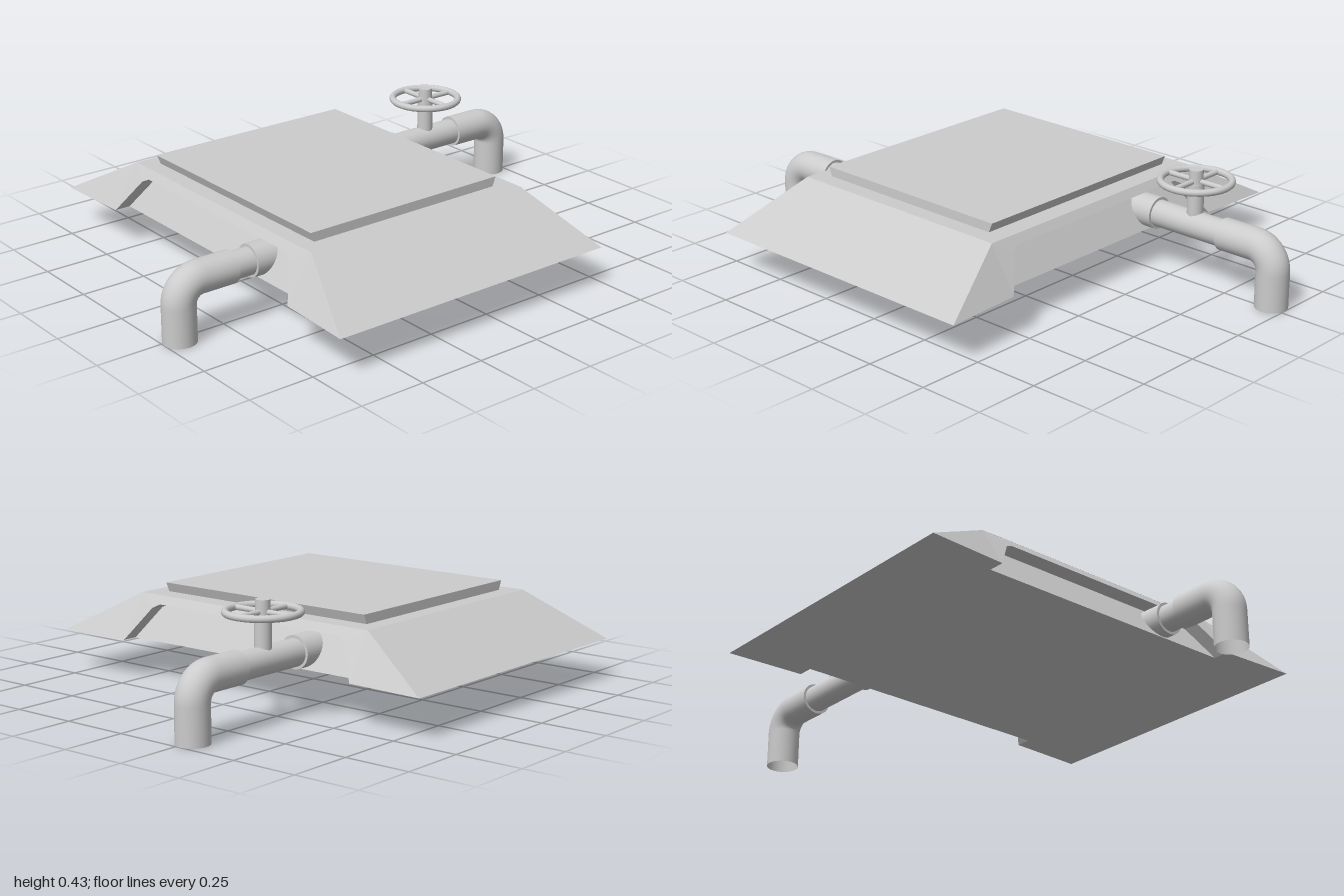
import * as THREE from 'three';

const material = new THREE.MeshStandardMaterial({ color: 0xcccccc });
const flat = new THREE.MeshStandardMaterial({ color: 0xcccccc, flatShading: true });
const open = new THREE.MeshStandardMaterial({ color: 0xcccccc, side: THREE.DoubleSide });
const BODY_X = -0.115;

function add(parent, name, geometry, mat = material, x = 0, y = 0, z = 0) {
  const mesh = new THREE.Mesh(geometry, mat);
  mesh.name = name;
  mesh.position.set(x, y, z);
  parent.add(mesh);
  return mesh;
}

// Sloped plinth with a recessed panel on each long side
function plinthGeometry() {
  const pos = [];
  const face = (points, flip = false) => {
    const p = flip ? [...points].reverse() : points;
    for (let i = 1; i < p.length - 1; i++) pos.push(...p[0], ...p[i], ...p[i + 1]);
  };
  const base = [0.585, 0.15, 0.83], top = [0.47, 0.315, 0.53];
  const at = ([x, y, z], sx, sz) => [x * sx, y, z * sz];
  const mirrorEnds = (half, s) => [
    ...half.map(p => at(p, s, 1)),
    ...[...half].reverse().map(p => at(p, s, -1)),
  ];
  const rim = [[0.57, 0.15, 0.53], [0.5, 0.27, 0.45], [0.49, 0.285, 0.42]];
  const inner = [[0.51, 0.15, 0.53], [0.443, 0.265, 0.453], [0.436, 0.277, 0.42]];

  for (const s of [1, -1]) {
    const flip = s < 0;
    const o = mirrorEnds([base, ...rim], s);
    const n = mirrorEnds(inner, s);
    const t0 = at(top, s, 1), t1 = at(top, s, -1);
    // outer skin around the recess
    for (let i = 0; i < 3; i++) {
      face([t0, o[i], o[i + 1]], flip);
      face([t1, o[i + 4], o[i + 5]], flip);
    }
    face([t0, o[3], o[4], t1], flip);
    // recess edges and back wall
    for (let i = 0; i < 5; i++) face([o[i + 1], n[i], n[i + 1], o[i + 2]], flip);
    face([n[0], n[5], n[4], n[3], n[2], n[1]], flip);
    // sloped end and underside at this end
    face([at(base, -1, s), at(base, 1, s), at(top, 1, s), at(top, -1, s)], flip);
    face([at(rim[0], -1, s), at(rim[0], 1, s), at(base, 1, s), at(base, -1, s)], flip);
  }
  const rect = (p) => [at(p, -1, 1), at(p, 1, 1), at(p, 1, -1), at(p, -1, -1)];
  face(rect(top));
  face(rect(inner[0]), true);

  const g = new THREE.BufferGeometry();
  g.setAttribute('position', new THREE.Float32BufferAttribute(pos, 3));
  g.computeVertexNormals();
  return g;
}

// Raised lid whose long sides lean outward
function lidGeometry() {
  const g = new THREE.BoxGeometry(0.83, 0.036, 0.93);
  const p = g.attributes.position;
  for (let i = 0; i < p.count; i++) if (p.getY(i) < 0) p.setX(i, p.getX(i) * 0.965);
  g.computeVertexNormals();
  return g;
}

function rod(parent, name, x0, x1, radius) {
  const g = new THREE.CylinderGeometry(radius, radius, x1 - x0, 32).rotateZ(Math.PI / 2);
  return add(parent, name, g, material, (x0 + x1) / 2, 0.215, 0);
}

// Pipe running outward along +x, then bending down to the ground
function pipe(name, wallX, collarX, elbowX) {
  const group = new THREE.Group();
  group.name = name;
  rod(group, 'wallCollar', wallX, collarX, 0.06);
  rod(group, 'thinPipe', collarX - 0.01, elbowX + 0.01, 0.05);

  const v = (x, y) => new THREE.Vector3(x, y, 0);
  const r = 0.08, k = r * 0.5523, y = 0.215, x = 0.94;
  const path = new THREE.CurvePath();
  path.add(new THREE.LineCurve3(v(elbowX, y), v(x - r, y)));
  path.add(new THREE.CubicBezierCurve3(v(x - r, y), v(x - r + k, y), v(x, y - r + k), v(x, y - r)));
  path.add(new THREE.LineCurve3(v(x, y - r), v(x, 0)));
  add(group, 'elbow', new THREE.TubeGeometry(path, 40, 0.06, 32), open);
  add(group, 'elbowEnd', new THREE.CircleGeometry(0.06, 32).rotateY(-Math.PI / 2), material, elbowX, y, 0);
  return group;
}

// Hand wheel on a stem
function valve() {
  const group = new THREE.Group();
  group.name = 'valve';
  add(group, 'stem', new THREE.CylinderGeometry(0.03, 0.03, 0.14, 24), material, 0, 0.305, 0);
  add(group, 'stemCap', new THREE.CylinderGeometry(0.026, 0.026, 0.055, 24), material, 0, 0.3985, 0);
  const ring = new THREE.TorusGeometry(0.128, 0.013, 12, 40).rotateX(Math.PI / 2);
  add(group, 'wheelRim', ring, material, 0, 0.383, 0);
  for (const turn of [0, Math.PI / 2]) {
    const g = new THREE.CylinderGeometry(0.01, 0.01, 0.25, 12).rotateZ(Math.PI / 2).rotateY(turn);
    add(group, 'wheelSpokes', g, material, 0, 0.383, 0);
  }
  return group;
}

export function createModel() {
  const model = new THREE.Group();
  model.name = 'hatchWithPipes';
  add(model, 'plinth', plinthGeometry(), flat, BODY_X);
  add(model, 'lid', lidGeometry(), flat, BODY_X - 0.007, 0.332, 0);

  const leftPipe = pipe('leftPipe', 0.3, 0.43, 0.725);
  leftPipe.position.z = -0.27;
  const wheel = valve();
  wheel.position.x = 0.592;
  leftPipe.add(wheel);
  model.add(leftPipe);

  const rightPipe = pipe('rightPipe', 0.53, 0.655, 0.73);
  rightPipe.rotation.y = Math.PI;
  rightPipe.position.z = 0.27;
  model.add(rightPipe);
  return model;
}
